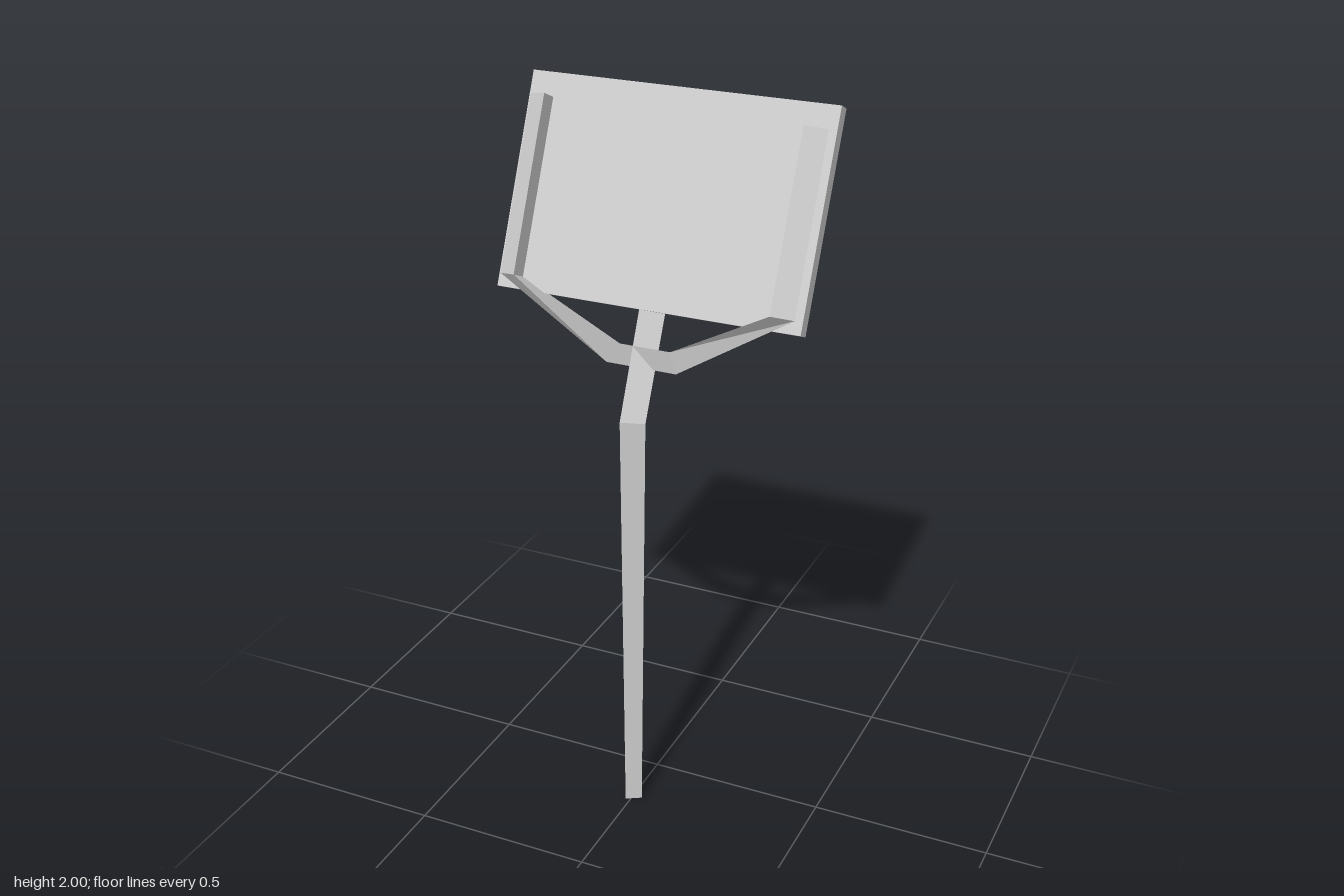
import * as THREE from 'three';

const TILT = 0.427; // backward lean of the panel
const material = new THREE.MeshStandardMaterial({ color: 0xcccccc, flatShading: true, side: THREE.DoubleSide });
const vec = (x, y, z) => new THREE.Vector3(x, y, z);
const normalAt = (a) => vec(0, Math.sin(a), Math.cos(a));

// Triangular section: front corner, outer corner, back corner
function ring(centre, out, normal, r) {
  const o = out.clone().normalize();
  const inner = centre.clone().addScaledVector(o, -r / 2);
  return [
    inner.clone().addScaledVector(normal, r * 0.866),
    centre.clone().addScaledVector(o, r),
    inner.clone().addScaledVector(normal, -r * 0.866),
  ];
}

// Joins triangular sections into a capped bar
function bar(name, rings) {
  const pts = [];
  for (let k = 0; k < rings.length - 1; k++) {
    const a = rings[k], b = rings[k + 1];
    for (let i = 0; i < 3; i++) {
      const j = (i + 1) % 3;
      pts.push(a[i], a[j], b[j], a[i], b[j], b[i]);
    }
  }
  const first = rings[0], last = rings[rings.length - 1];
  pts.push(first[2], first[1], first[0], last[0], last[1], last[2]);
  const geometry = new THREE.BufferGeometry().setFromPoints(pts);
  geometry.computeVertexNormals();
  const mesh = new THREE.Mesh(geometry, material);
  mesh.name = name;
  return mesh;
}

export function createModel() {
  const group = new THREE.Group();
  group.name = 'signStand';
  const lean = normalAt(TILT);

  // Flat board
  const panel = new THREE.Mesh(new THREE.BoxGeometry(0.86, 0.577, 0.04), material);
  panel.name = 'panel';
  panel.position.set(0, 1.729, -0.054);
  panel.rotation.x = -TILT;
  group.add(panel);

  // Post: tapered upright that bends back behind the board
  const side = vec(1, 0, 0);
  group.add(bar('post', [
    ring(vec(0, 0, 0.167), side, normalAt(0), 0.027),
    ring(vec(0, 1.19, 0.16), side, normalAt(TILT / 2), 0.039),
    ring(vec(0, 1.8, -0.12), side, lean, 0.041),
  ]));

  // Fork: cradle running from one side rail, under the board, to the other
  const half = (s) => [
    ring(vec(s * 0.378, 1.95, -0.108), vec(s, 0, 0), lean, 0.037),
    ring(vec(s * 0.378, 1.515, 0.09), vec(s, 0, 0), lean, 0.037),
    ring(vec(s * 0.09, 1.352, 0.088), vec(s * 0.27, -0.9, 0.41), lean, 0.037),
  ];
  group.add(bar('fork', [...half(-1), ...half(1).reverse()]));

  return group;
}
